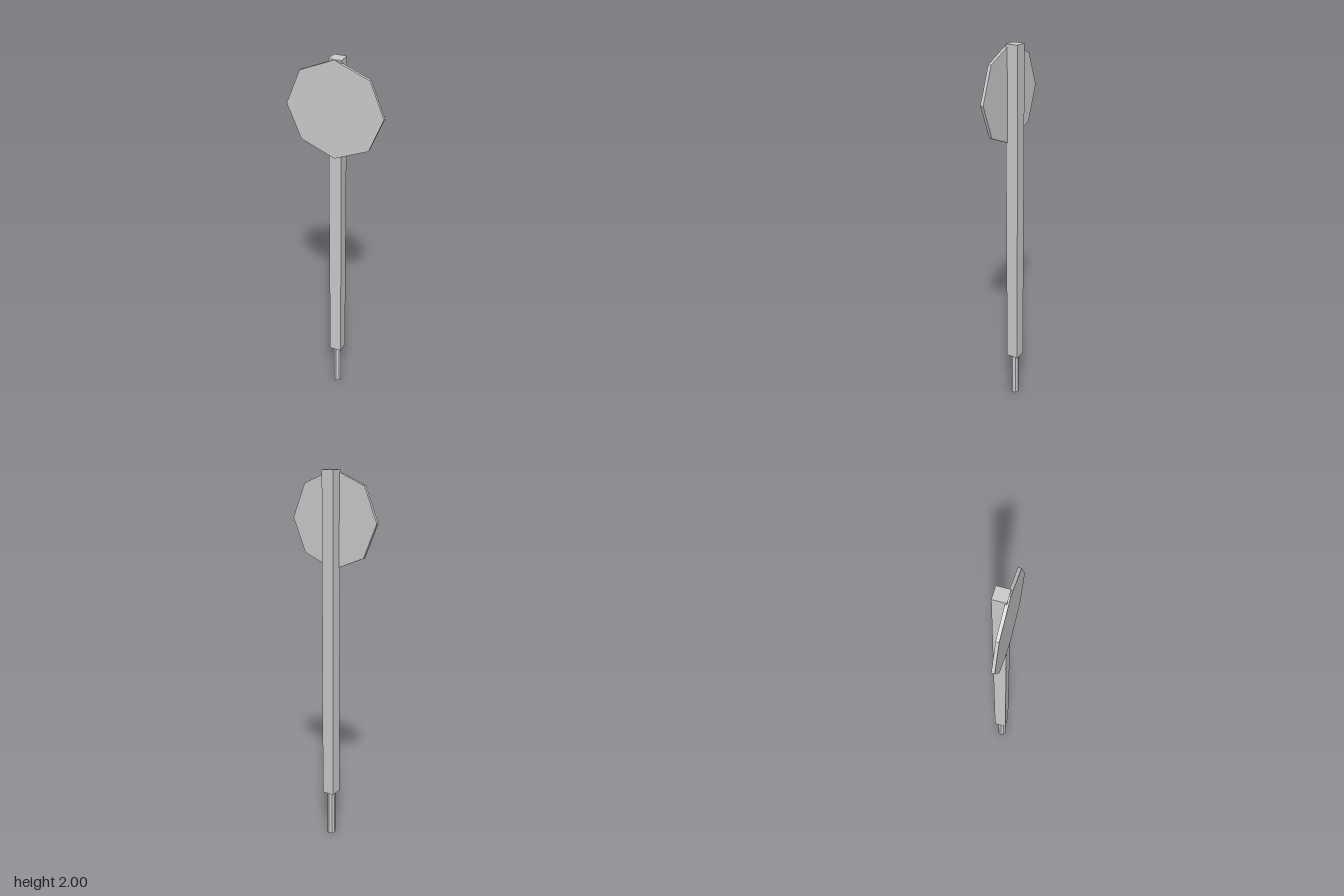
import * as THREE from 'three';

export function createModel() {
  const group = new THREE.Group();
  const grey = new THREE.MeshStandardMaterial({ color: 0xcccccc, flatShading: true });
  grey.name = 'light grey';

  const add = (name, geometry, x, y, z) => {
    const mesh = new THREE.Mesh(geometry, grey);
    mesh.name = name;
    mesh.position.set(x, y, z);
    group.add(mesh);
    return mesh;
  };

  // Square post
  add('post', new THREE.BoxGeometry(0.066, 1.745, 0.066), 0, 1.1275, -0.0035);

  // Thin eight-sided peg under the post
  add('peg', new THREE.CylinderGeometry(0.023, 0.023, 0.26, 8), 0, 0.13, -0.0015);

  // Octagonal plate, one corner up, set into the front of the post
  const plate = add('signPlate', new THREE.CylinderGeometry(0.249, 0.249, 0.016, 8), 0, 1.751, 0.0285);
  plate.rotation.x = Math.PI / 2;

  return group;
}
